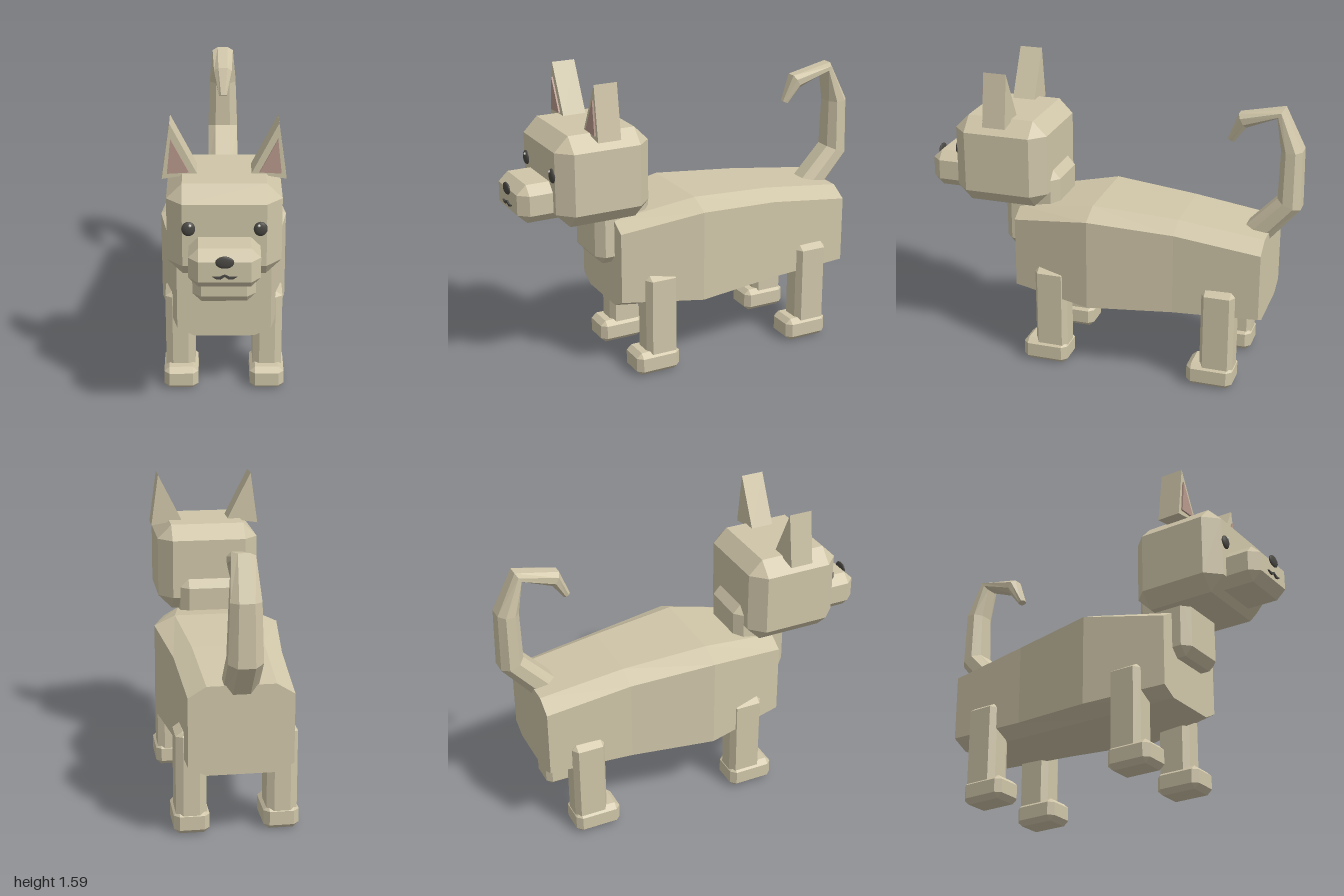
import * as THREE from 'three';
import { ConvexGeometry } from 'three/addons/geometries/ConvexGeometry.js';

// Box with every edge cut off; min/max corners and a cut size per axis
function chamferBox([x0, y0, z0], [x1, y1, z1], [cx, cy, cz]) {
  const hx = (x1 - x0) / 2, hy = (y1 - y0) / 2, hz = (z1 - z0) / 2;
  const pts = [];
  for (const a of [-1, 1]) for (const b of [-1, 1]) for (const c of [-1, 1]) {
    pts.push(
      new THREE.Vector3(a * hx, b * (hy - cy), c * (hz - cz)),
      new THREE.Vector3(a * (hx - cx), b * hy, c * (hz - cz)),
      new THREE.Vector3(a * (hx - cx), b * (hy - cy), c * hz));
  }
  return new ConvexGeometry(pts).translate((x0 + x1) / 2, (y0 + y1) / 2, (z0 + z1) / 2);
}

// Closed skin over a row of cross-sections with equal point counts
function loft(sections) {
  const pos = [], n = sections[0].length;
  const tri = (...p) => p.forEach(q => pos.push(...q));
  for (let i = 0; i < sections.length - 1; i++) {
    for (let j = 0; j < n; j++) {
      const k = (j + 1) % n;
      const a = sections[i][j], b = sections[i][k], c = sections[i + 1][k], d = sections[i + 1][j];
      tri(a, b, c);
      tri(a, c, d);
    }
  }
  const first = sections[0], last = sections[sections.length - 1];
  for (let j = 1; j < n - 1; j++) {
    tri(first[0], first[j + 1], first[j]);
    tri(last[0], last[j], last[j + 1]);
  }
  const g = new THREE.BufferGeometry();
  g.setAttribute('position', new THREE.Float32BufferAttribute(pos, 3));
  g.computeVertexNormals();
  return g;
}

// Flat outline given depth from z0 to z1
function plate(points, z0, z1) {
  const shape = new THREE.Shape(points.map(p => new THREE.Vector2(...p)));
  return new THREE.ExtrudeGeometry(shape, { depth: z1 - z0, bevelEnabled: false }).translate(0, 0, z0);
}

export function createModel() {
  const mat = (name, color) => {
    const m = new THREE.MeshStandardMaterial({ color });
    m.name = name;
    return m;
  };
  const fur = mat('tan fur', 0xcfc5a8);
  const dark = mat('dark features', 0x4a4843);
  const pink = mat('inner ear pink', 0xb8998c);
  const glint = mat('eye glint', 0xd8d8d0);

  const model = new THREE.Group();
  model.name = 'dog';
  const add = (name, geo, material = fur) => {
    const m = new THREE.Mesh(geo, material);
    m.name = name;
    model.add(m);
    return m;
  };

  // Body: z, half width, flat half width, bottom, lower edge, upper edge, top
  const body = [
    [-0.85, 0.26, 0.17, 0.365, 0.41, 0.765, 0.82],
    [-0.40, 0.278, 0.185, 0.348, 0.393, 0.825, 0.878],
    [0.05, 0.33, 0.22, 0.33, 0.375, 0.86, 0.912],
    [0.48, 0.24, 0.155, 0.365, 0.41, 0.785, 0.835],
  ];
  add('body', loft(body.map(([z, w, f, b, lo, hi, t]) => [
    [-f, b, z], [f, b, z], [w, lo, z], [w, hi, z],
    [f, t, z], [-f, t, z], [-w, hi, z], [-w, lo, z],
  ])));

  // Neck, head and snout
  add('neck', chamferBox([-0.16, 0.595, 0.265], [0.16, 1.04, 0.57], [0.045, 0.045, 0.04]));
  add('head', chamferBox([-0.275, 0.86, 0.305], [0.275, 1.332, 0.812], [0.075, 0.076, 0.075]));
  add('snout', chamferBox([-0.17, 0.892, 0.70], [0.17, 1.09, 0.985], [0.046, 0.047, 0.05]));

  // Nose and mouth
  add('nose', new THREE.SphereGeometry(1, 16, 10).scale(0.044, 0.031, 0.01).translate(0, 1.045, 0.99), dark);
  add('mouth', plate([
    [0, 0.972], [0.02, 0.958], [0.04, 0.96], [0.058, 0.972], [0.025, 0.97], [0, 0.982],
    [-0.025, 0.97], [-0.058, 0.972], [-0.04, 0.96], [-0.02, 0.958],
  ], 0.984, 0.993), dark);

  for (const s of [1, -1]) {
    const side = s > 0 ? 'left' : 'right';
    const mirror = pts => (s > 0 ? pts : pts.map(([x, y]) => [-x, y]));

    // Eye with a small glint
    add(side + 'Eye', new THREE.SphereGeometry(1, 16, 10)
      .scale(0.033, 0.037, 0.016).translate(s * 0.17, 1.132, 0.812), dark);
    add(side + 'EyeGlint', new THREE.SphereGeometry(0.007, 8, 6)
      .translate(s * 0.162, 1.153, 0.824), glint);

    // Ear wedge with its inner panel
    add(side + 'Ear', plate(mirror([[0.298, 1.305], [0.258, 1.587], [0.13, 1.333]]), 0.497, 0.62));
    add(side + 'InnerEar', plate(mirror([[0.273, 1.335], [0.254, 1.51], [0.168, 1.341]]), 0.62, 0.629), pink);

    // Legs and paws, front pair then hind pair
    for (const [name, z] of [['Front', 0.18], ['Hind', -0.73]]) {
      const leg = chamferBox([-0.077, 0.06, z], [0.077, 0.545, z + 0.178], [0.036, 0.025, 0.022]);
      const paw = chamferBox([-0.09, 0, z - 0.003], [0.09, 0.125, z + 0.243], [0.028, 0.026, 0.028]);
      add(side + name + 'Leg', leg.translate(s * 0.228, 0, 0));
      add(side + name + 'Paw', paw.translate(s * 0.226, 0, 0));
    }
  }

  // Tail: inner z, inner y, outer z, outer y, half width
  const tail = [
    [-0.69, 0.80, -0.83, 0.75, 0.085],
    [-0.88, 1.00, -1.00, 0.95, 0.085],
    [-0.885, 1.255, -0.995, 1.26, 0.075],
    [-0.857, 1.42, -0.89, 1.473, 0.058],
    [-0.70, 1.355, -0.66, 1.425, 0.05],
    [-0.638, 1.27, -0.605, 1.285, 0.022],
  ];
  add('tail', loft(tail.map(([zi, yi, zo, yo, w]) => {
    const at = (x, t) => [x * w, yi + (yo - yi) * t, zi + (zo - zi) * t];
    return [at(-0.5, 0), at(0.5, 0), at(1, 0.28), at(1, 0.72),
      at(0.5, 1), at(-0.5, 1), at(-1, 0.72), at(-1, 0.28)];
  })));

  return model;
}
